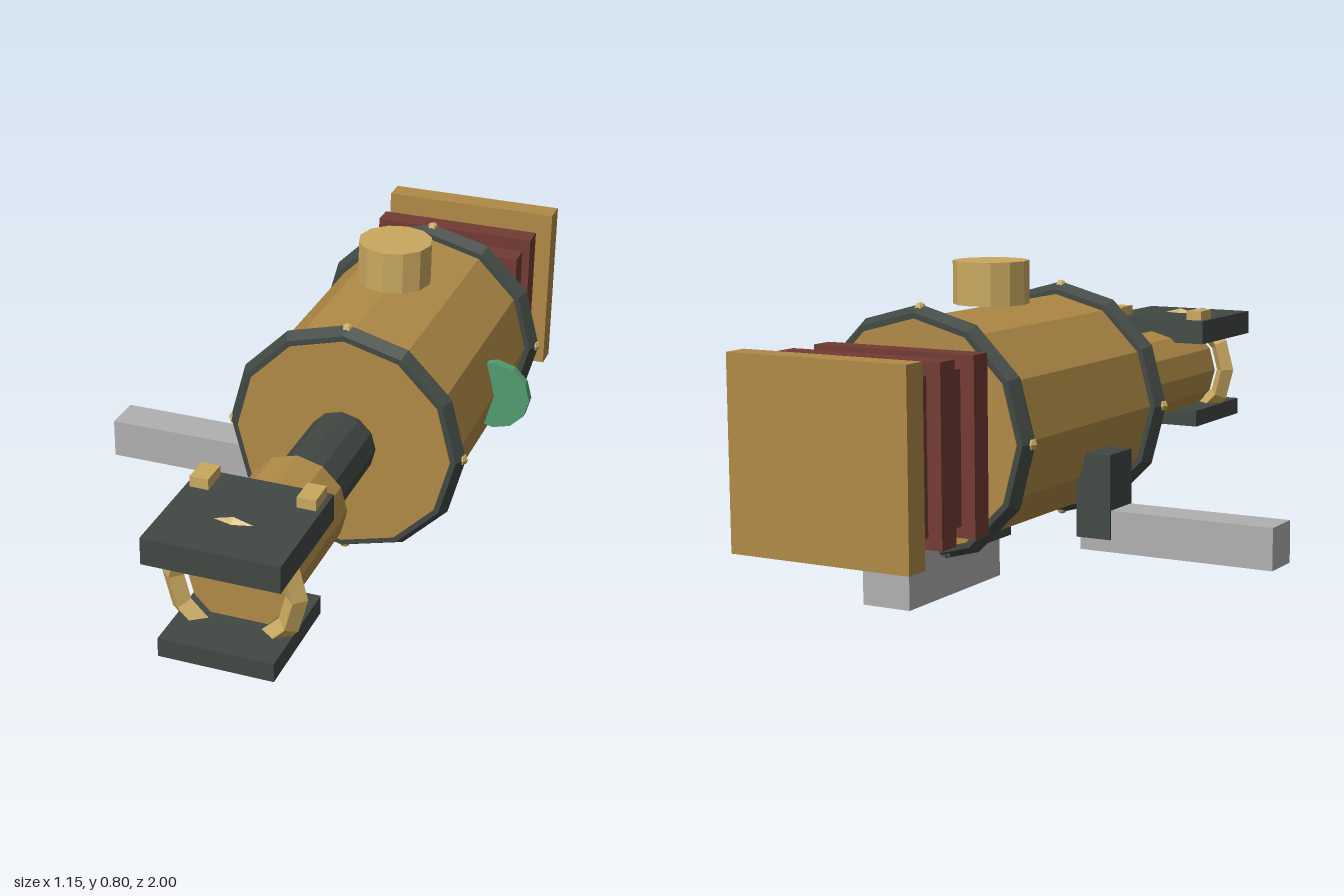
import * as THREE from 'three';

const material = (name, color) => {
  const m = new THREE.MeshStandardMaterial({ color, flatShading: true });
  m.name = name;
  return m;
};

export function createModel() {
  const group = new THREE.Group();
  const brass = material('brass', 0xb08a46);
  const paleBrass = material('paleBrass', 0xc9a95f);
  const iron = material('darkIron', 0x414843);
  const leather = material('redLeather', 0x733b34);
  const steel = material('greySteel', 0xb0b0b0);
  const green = material('green', 0x529c70);
  const CX = 0.195, CY = 0.395; // main axis of the body

  const add = (name, geometry, mat, x, y, z) => {
    const mesh = new THREE.Mesh(geometry, mat);
    mesh.name = name;
    mesh.position.set(x, y, z);
    group.add(mesh);
    return mesh;
  };
  // Box given by its limits on each axis
  const box = (name, mat, [x0, x1], [y0, y1], [z0, z1]) =>
    add(name, new THREE.BoxGeometry(x1 - x0, y1 - y0, z1 - z0), mat,
      (x0 + x1) / 2, (y0 + y1) / 2, (z0 + z1) / 2);
  // Twelve-sided cylinder lying along z
  const tube = (name, mat, r, z0, z1, x = CX, y = CY) =>
    add(name, new THREE.CylinderGeometry(r, r, z1 - z0, 12).rotateX(Math.PI / 2),
      mat, x, y, (z0 + z1) / 2);

  // Body, neck and barrel
  tube('body', brass, 0.285, -0.6, 0.158);
  tube('neck', iron, 0.09, 0.15, 0.48);
  tube('barrel', brass, 0.127, 0.47, 0.84);

  // End rings with four bolts each
  for (const z of [0.126, -0.567]) {
    add('endRing', new THREE.TorusGeometry(0.282, 0.035, 6, 12), iron, CX, CY, z);
    for (let i = 0; i < 4; i++) {
      const a = i * Math.PI / 2;
      add('bolt', new THREE.SphereGeometry(0.016, 6, 4), paleBrass,
        CX + 0.306 * Math.cos(a), CY + 0.306 * Math.sin(a), z);
    }
  }

  // Muzzle ring between two jaw plates
  add('muzzleRing', new THREE.TorusGeometry(0.15, 0.027, 4, 12), paleBrass, CX, CY, 0.864);
  box('upperJaw', iron, [0.03, 0.36], [0.492, 0.559], [0.67, 1]);
  box('lowerJaw', iron, [0.056, 0.336], [0.245, 0.292], [0.687, 0.982]);
  for (const x of [0.042, 0.302])
    box('jawLug', paleBrass, [x, x + 0.046], [0.54, 0.586], [0.685, 0.755]);

  // Filler cap on top and gauge disc on the left side
  add('fillerCap', new THREE.CylinderGeometry(0.097, 0.097, 0.11, 12), paleBrass, CX, 0.74, -0.238);
  tube('gaugeDisc', green, 0.095, -0.259, -0.235, 0.48);

  // Side handle and rear grip, each on a bracket
  box('sideBracket', iron, [-0.138, -0.042], [0.1, 0.317], [-0.222, -0.105]);
  box('sideHandle', steel, [-0.58, -0.05], [0.068, 0.175], [-0.217, -0.11]);
  box('gripBracket', iron, [0.105, 0.285], [0.105, 0.16], [-0.59, -0.3]);
  box('rearGrip', steel, [0.13, 0.262], [0, 0.14], [-0.73, -0.315]);

  // Bellows folds of alternating size, closed by a back plate
  for (let i = 0; i < 4; i++) {
    const z = -0.66 - i * 0.0715;
    const [w, h] = i % 2 ? [0.195, 0.186] : [0.225, 0.217];
    box('bellowsFold', leather, [CX - w, CX + w], [0.398 - h, 0.398 + h], [z - 0.03, z + 0.03]);
  }
  box('backPlate', brass, [-0.05, 0.44], [0.16, 0.63], [-1, -0.935]);

  return group;
}
